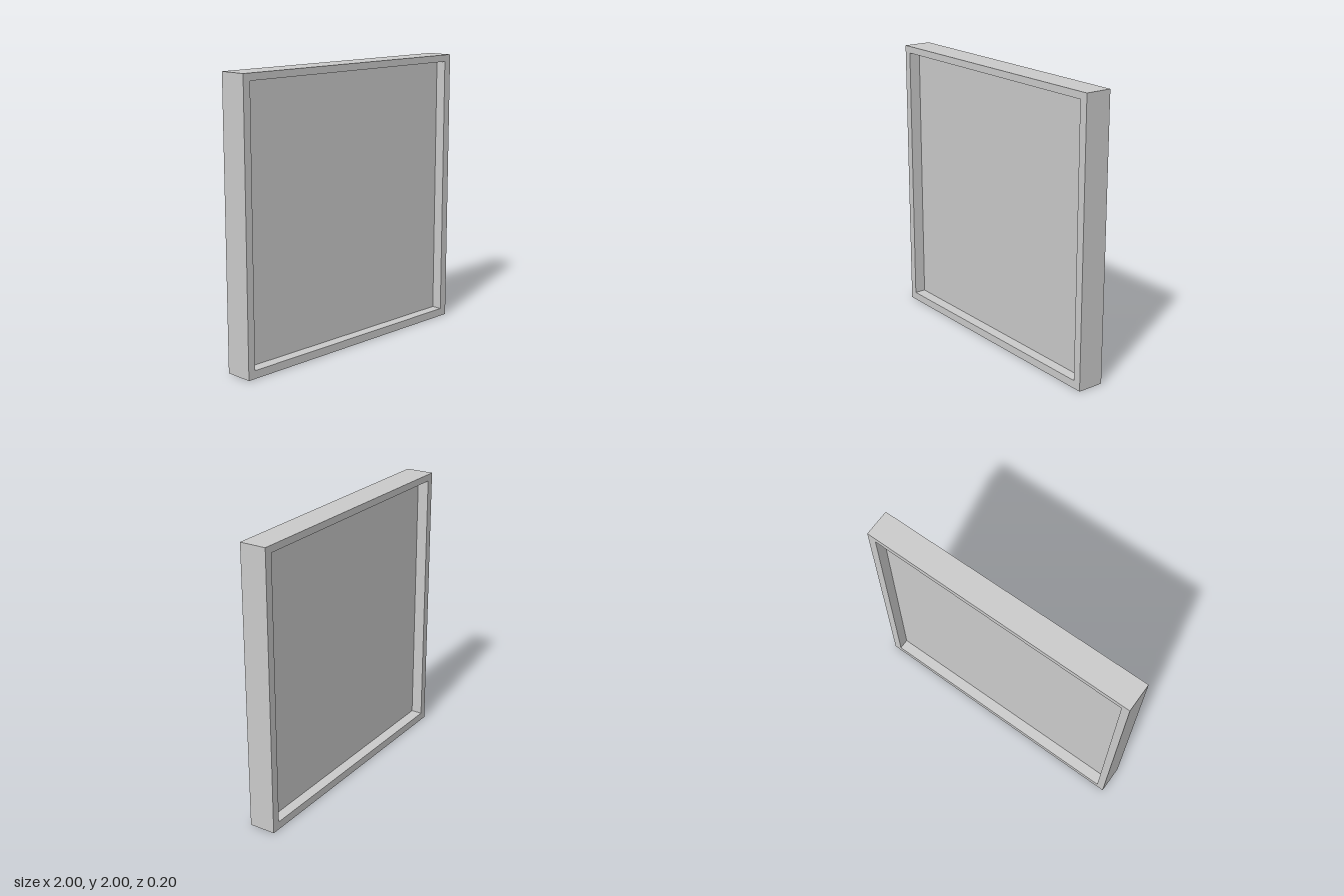
import * as THREE from 'three';

// Rectangle corners, counter-clockwise
const rect = (x0, y0, x1, y1) => [[x0, y0], [x1, y0], [x1, y1], [x0, y1]].map(([x, y]) => new THREE.Vector2(x, y));

export function createModel() {
  const model = new THREE.Group();
  const material = new THREE.MeshStandardMaterial({ color: 0xcccccc, flatShading: true });
  const inner = { x0: -0.945, y0: 0.057, x1: 0.941, y1: 1.951 };

  // Square surround with one opening
  const outline = new THREE.Shape(rect(-1, 0, 1, 2));
  outline.holes.push(new THREE.Path(rect(inner.x0, inner.y0, inner.x1, inner.y1).reverse()));
  const frameGeometry = new THREE.ExtrudeGeometry(outline, { depth: 2, bevelEnabled: false });
  frameGeometry.translate(0, 0, -1);

  // The surround is very slightly thinner towards its left
  const pos = frameGeometry.attributes.position;
  for (let i = 0; i < pos.count; i++) {
    pos.setZ(i, pos.getZ(i) * (0.0985 - 0.0035 * pos.getX(i)));
  }
  frameGeometry.computeVertexNormals();
  const frame = new THREE.Mesh(frameGeometry, material);
  frame.name = 'frame';

  // Panel recessed equally from both faces
  const panel = new THREE.Mesh(
    new THREE.BoxGeometry(inner.x1 - inner.x0, inner.y1 - inner.y0, 0.04), material);
  panel.position.set((inner.x0 + inner.x1) / 2, (inner.y0 + inner.y1) / 2, 0);
  panel.name = 'panel';

  model.add(frame, panel);
  return model;
}
